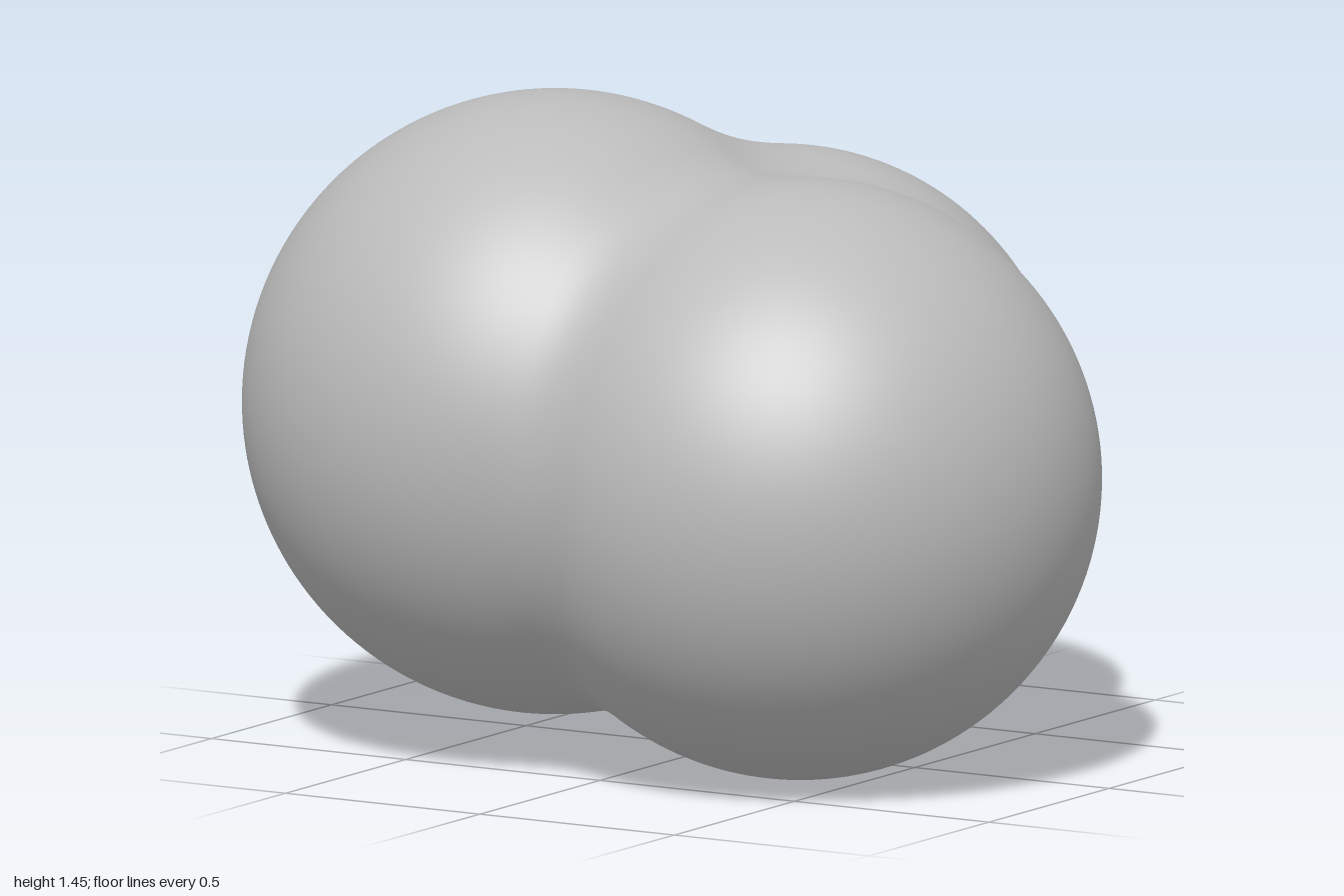
import * as THREE from 'three';

// Three overlapping balls: centre and radius
const balls = [
  { c: new THREE.Vector3(-0.315, 0.765, 0.178), r: 0.685 }, // right, raised
  { c: new THREE.Vector3(0.34, 0.66, 0.217), r: 0.66 },     // left
  { c: new THREE.Vector3(0.0, 0.663, -0.25), r: 0.63 },     // back
];
const BLEND = 0.1;

// Union with softly filled valleys
function smoothMin(a, b) {
  const h = Math.max(BLEND - Math.abs(a - b), 0) / BLEND;
  return Math.min(a, b) - h * h * BLEND / 4;
}
function field(p) {
  return balls.map(({ c, r }) => p.distanceTo(c) - r).reduce(smoothMin);
}

// Outward direction of the surface
function gradient(p) {
  const e = 0.002;
  const slope = (axis) => {
    const a = p.clone(), b = p.clone();
    a[axis] += e;
    b[axis] -= e;
    return field(a) - field(b);
  };
  return new THREE.Vector3(slope('x'), slope('y'), slope('z')).normalize();
}

// Push every vertex of a unit sphere out from a shared inner point to the surface
function blendedBody() {
  const geo = new THREE.IcosahedronGeometry(1, 36);
  const pos = geo.attributes.position, nor = geo.attributes.normal;
  const core = new THREE.Vector3(0.01, 0.69, 0.05);
  const dir = new THREE.Vector3(), p = new THREE.Vector3();
  for (let i = 0; i < pos.count; i++) {
    dir.fromBufferAttribute(pos, i).normalize();
    let near = 0, far = 2;
    for (let k = 0; k < 22; k++) {
      const mid = (near + far) / 2;
      p.copy(core).addScaledVector(dir, mid);
      if (field(p) < 0) near = mid; else far = mid;
    }
    pos.setXYZ(i, p.x, p.y, p.z);
    const n = gradient(p);
    nor.setXYZ(i, n.x, n.y, n.z);
  }
  return geo;
}

export function createModel() {
  const grey = new THREE.MeshStandardMaterial({ color: 0xbbbbbb });
  grey.name = 'plain grey';
  const body = new THREE.Mesh(blendedBody(), grey);
  body.name = 'blendedBalls';
  const group = new THREE.Group();
  group.name = 'threeBallCluster';
  group.add(body);
  return group;
}
